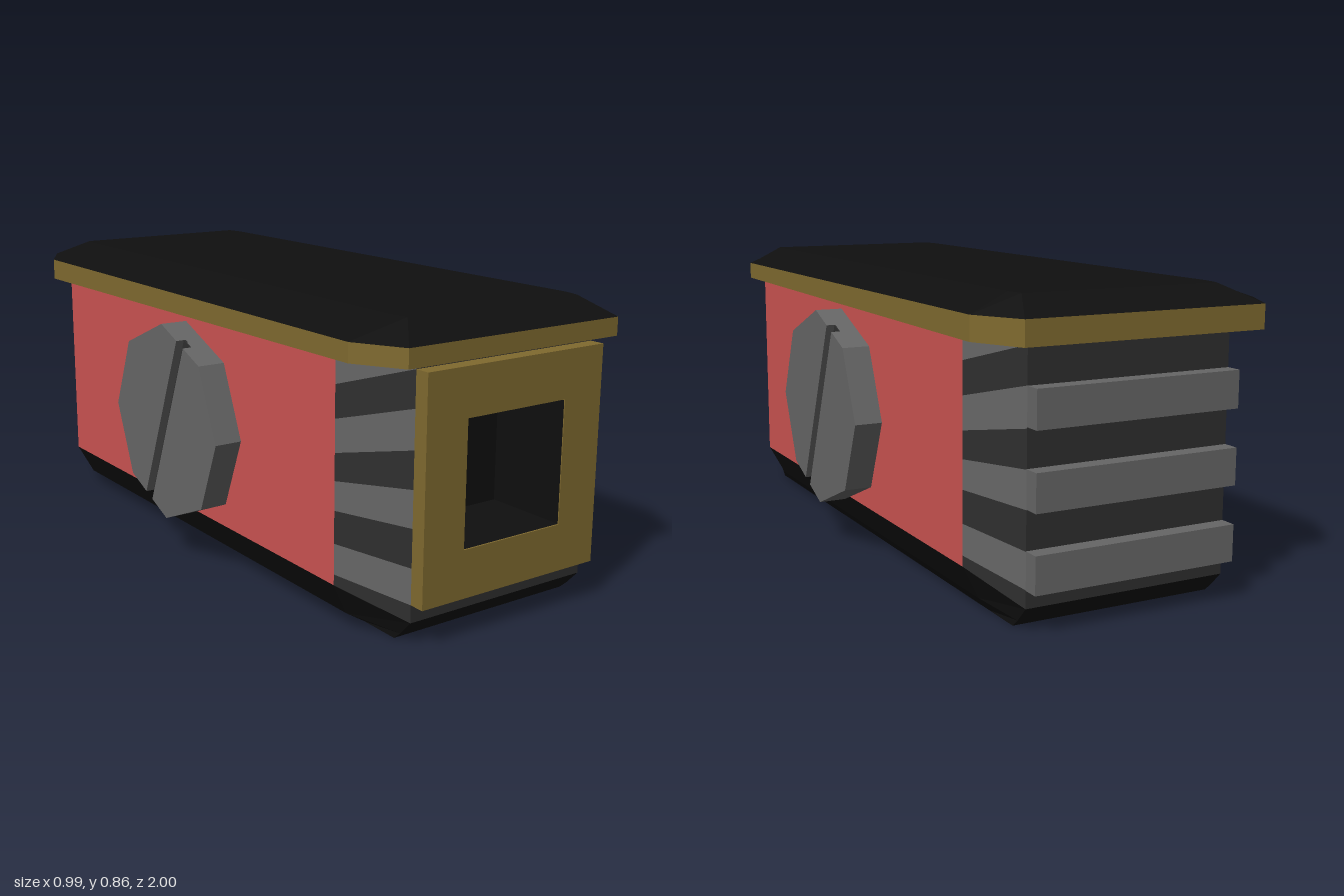
import * as THREE from 'three';

const mat = (color, side = THREE.FrontSide) =>
  new THREE.MeshStandardMaterial({ color, flatShading: true, side });
const black = mat(0x0f0f0f);
const brass = mat(0x806a2f);
const red = mat(0xcb5351);
const light = mat(0x666666);
const dark = mat(0x2e2e2e);

function add(parent, name, geometry, material, x = 0, y = 0, z = 0) {
  const mesh = new THREE.Mesh(geometry, material);
  mesh.name = name;
  mesh.position.set(x, y, z);
  parent.add(mesh);
  return mesh;
}

// Eight-cornered ring: "side" corners lie on the long sides, "end" corners on the short ends.
function ring([sx, sy, sz], [ex, ey, ez], sideShift = 0, endShift = 0) {
  const s = (a, b) => [a * sx + sideShift, sy, b * sz];
  const e = (a, b) => [a * ex + endShift, ey, b * ez];
  return [e(-1, 1), e(1, 1), s(1, 1), s(1, -1), e(1, -1), e(-1, -1), s(-1, -1), s(-1, 1)];
}

const ALL = [0, 1, 2, 3, 4, 5, 6, 7]; // 0 front, 4 back, 2 and 6 sides, odd ones corners

// Walls between stacked rings (bottom to top), with optional caps.
function loft(rings, walls = ALL, capBottom = false, capTop = false) {
  const p = [];
  const tri = (a, b, c) => p.push(...a, ...b, ...c);
  for (let k = 0; k < rings.length - 1; k++) {
    for (const j of walls) {
      const n = (j + 1) % 8;
      const [lo, hi] = [rings[k], rings[k + 1]];
      tri(lo[j], lo[n], hi[n]);
      tri(lo[j], hi[n], hi[j]);
    }
  }
  const b = rings[0], t = rings[rings.length - 1];
  for (let j = 1; j < 7; j++) {
    if (capBottom) tri(b[0], b[j + 1], b[j]);
    if (capTop) tri(t[0], t[j], t[j + 1]);
  }
  const g = new THREE.BufferGeometry();
  g.setAttribute('position', new THREE.Float32BufferAttribute(p, 3));
  g.computeVertexNormals();
  return g;
}

const polygon = (pts) => new THREE.Shape(pts.map(([x, y]) => new THREE.Vector2(x, y)));
const rect = (x0, y0, x1, y1) => polygon([[x0, y0], [x1, y0], [x1, y1], [x0, y1]]);
const extrude = (shape, depth) => new THREE.ExtrudeGeometry(shape, { depth, bevelEnabled: false });

const bodyRing = (sideY, endY) => ring([0.41, sideY, 0.775], [0.305, endY, 0.945], 0, 0.015);

function windowed(y0, y1) {
  const shape = rect(-0.29, y0, 0.32, y1);
  shape.holes.push(rect(-0.155, 0.25, 0.185, 0.6));
  return shape;
}

// Octagonal knob facing +x, with a slanted groove across its face.
function makeKnob(name) {
  const knob = new THREE.Group();
  knob.name = name;
  const face = new THREE.Group();
  face.rotation.set(0, Math.PI / 2, 0);
  knob.add(face);
  const turn = new THREE.Group();
  turn.rotation.z = -Math.PI / 8;
  face.add(turn);
  const a = 0.277, s = 0.115, w = 0.02;
  const octagon = polygon([[s, -a], [a, -s], [a, s], [s, a], [-s, a], [-a, s], [-a, -s], [-s, -a]]);
  add(turn, 'knobBase', extrude(octagon, 0.055), light);
  const half = polygon([[w, -a], [s, -a], [a, -s], [a, s], [s, a], [w, a]]);
  for (const r of [0, Math.PI]) {
    add(turn, 'knobFaceHalf', extrude(half, 0.03), light, 0, 0, 0.053).rotation.z = r;
  }
  add(turn, 'knobGroove', new THREE.BoxGeometry(2 * w, 2 * a, 0.006), dark, 0, 0, 0.055);
  return knob;
}

export function createModel() {
  const model = new THREE.Group();
  model.name = 'model';

  // Bevelled base
  add(model, 'base', loft([
    ring([0.305, 0, 0.75], [0.305, 0, 0.88], 0.015, 0.015),
    ring([0.36, 0.045, 0.765], [0.305, 0.022, 0.905], 0, 0.015),
    bodyRing(0.14, 0.065),
  ], ALL, true, false), black);

  // Side panels, back wall and front wall
  add(model, 'sidePanels', loft([bodyRing(0.14, 0.065), bodyRing(0.745, 0.745)], [2, 6]), red);
  add(model, 'backWall', loft([bodyRing(0.14, 0.065), bodyRing(0.745, 0.745)], [4]), dark);
  add(model, 'frontWall', new THREE.ShapeGeometry(windowed(0.065, 0.755)), dark, 0, 0, 0.945);

  // Corner bands fanning out towards the ends
  const sideY = [0.14, 0.17, 0.255, 0.345, 0.425, 0.5, 0.59, 0.68, 0.745];
  const endY = [0.065, 0.115, 0.215, 0.322, 0.425, 0.528, 0.635, 0.735, 0.745];
  for (let k = 0; k < 8; k++) {
    add(model, 'cornerBand', loft(
      [bodyRing(sideY[k], endY[k]), bodyRing(sideY[k + 1], endY[k + 1])], [1, 3, 5, 7],
    ), k % 2 ? light : dark);
  }

  // Back fins
  for (const y of [0.165, 0.375, 0.583]) {
    add(model, 'backFin', new THREE.BoxGeometry(0.61, 0.103, 0.06), light, 0.015, y, -0.962);
  }

  // Front plate with a square opening and its recess
  add(model, 'frontPlate', extrude(windowed(0.115, 0.735), 0.045), brass, 0, 0, 0.945);
  add(model, 'frontRecess', new THREE.BoxGeometry(0.336, 0.346, 0.25),
    mat(0x0f0f0f, THREE.BackSide), 0.015, 0.425, 0.864);

  // Lid: brass rim, slightly deeper at the back, under a bevelled top
  const lidRing = (y) => ring([0.435, y, 0.86], [0.36, y, 1]);
  const rimBottom = lidRing(0.745).map(([x, y, z]) => [x, y + 0.008 * z, z]);
  add(model, 'lidRim', loft([rimBottom, lidRing(0.805)], ALL, true, false), brass);
  add(model, 'lidTop', loft([
    lidRing(0.805),
    ring([0.305, 0.855, 0.84], [0.295, 0.855, 0.895], 0.015, 0.015),
  ], ALL, false, true), black);

  // Knobs on both sides
  const left = makeKnob('leftKnob');
  left.position.set(0.413, 0.425, 0.033);
  const right = makeKnob('rightKnob');
  right.position.set(-0.415, 0.425, 0.033);
  right.rotation.y = Math.PI;
  model.add(left, right);

  return model;
}
